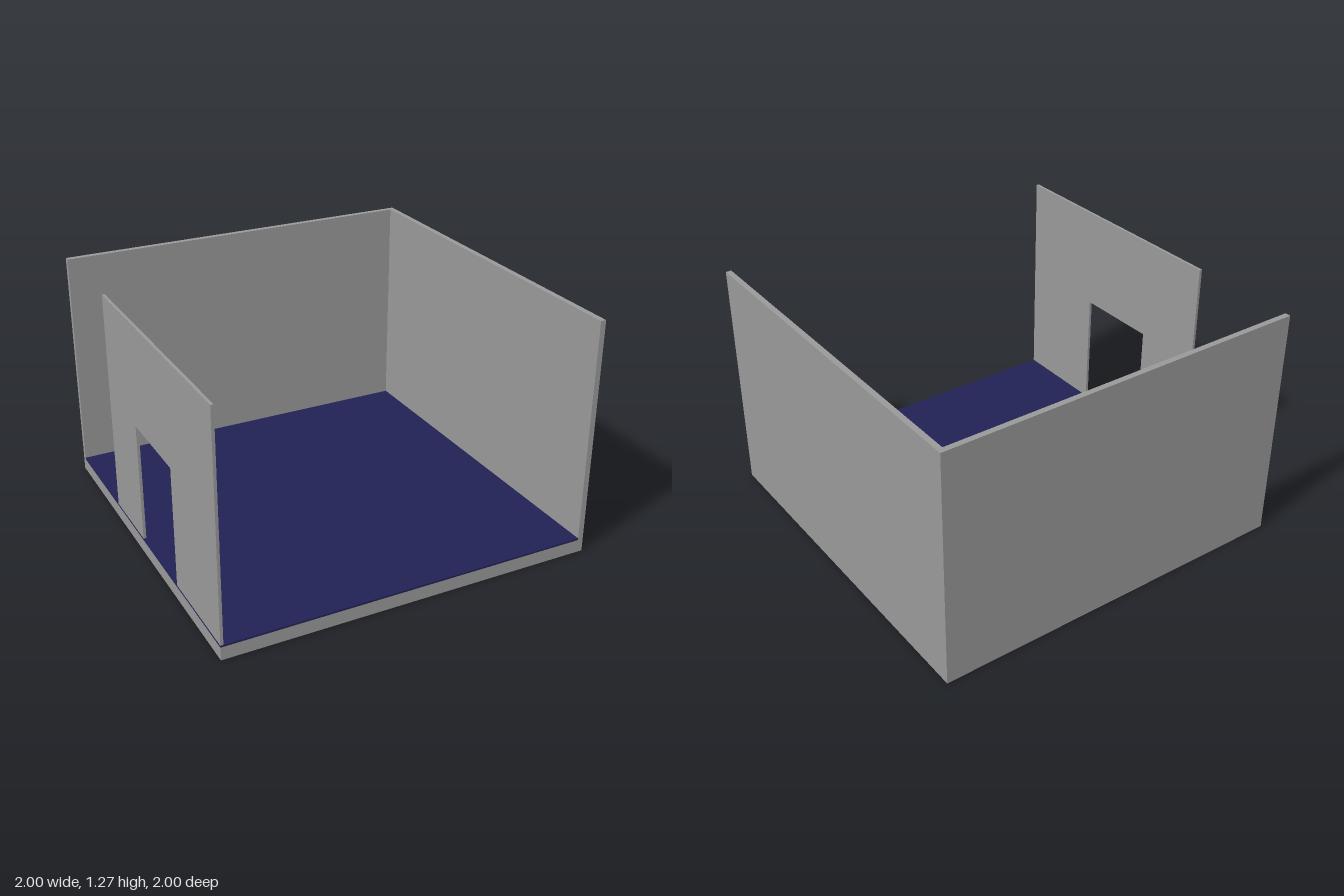
import * as THREE from 'three';

const H = 1.27;          // wall height
const T = 0.03;          // main wall thickness
const SLAB = 0.07;       // base slab height
const FLOOR = 0.08;      // top of the floor covering

export function createModel() {
  const model = new THREE.Group();
  model.name = 'room';
  const wallGrey = new THREE.MeshStandardMaterial({ color: 0x999999 });
  wallGrey.name = 'wall grey';
  const floorBlue = new THREE.MeshStandardMaterial({ color: 0x222255 });
  floorBlue.name = 'floor navy';

  // Box given by its minimum and maximum corners
  function addBox(name, material, [x0, y0, z0], [x1, y1, z1]) {
    const geometry = new THREE.BoxGeometry(x1 - x0, y1 - y0, z1 - z0);
    geometry.translate((x0 + x1) / 2, (y0 + y1) / 2, (z0 + z1) / 2);
    const mesh = new THREE.Mesh(geometry, material);
    mesh.name = name;
    model.add(mesh);
  }

  // Base and thin floor covering
  addBox('baseSlab', wallGrey, [-1, 0, -1 + T], [1 - T, SLAB, 1]);
  addBox('floorCovering', floorBlue, [-1, SLAB, -1 + T], [1 - T, FLOOR, 1]);

  // Two solid walls meeting at the back corner
  addBox('backWall', wallGrey, [-1, 0, -1], [1, H, -1 + T]);
  addBox('leftWall', wallGrey, [1 - T, 0, -1 + T], [1, H, 1]);

  // Thin wall with a doorway, drawn as (-z, y) and extruded along x
  const outline = new THREE.Shape();
  outline.moveTo(-1, FLOOR);
  outline.lineTo(-0.47, FLOOR);
  outline.lineTo(-0.47, 0.72);
  outline.lineTo(0, 0.72);
  outline.lineTo(0, FLOOR);
  outline.lineTo(0.39, FLOOR);
  outline.lineTo(0.39, H);
  outline.lineTo(-1, H);
  outline.closePath();
  const doorWall = new THREE.Mesh(
    new THREE.ExtrudeGeometry(outline, { depth: 0.015, bevelEnabled: false }),
    wallGrey
  );
  doorWall.name = 'doorwayWall';
  doorWall.rotation.y = Math.PI / 2;
  doorWall.position.x = -1;
  model.add(doorWall);

  return model;
}
